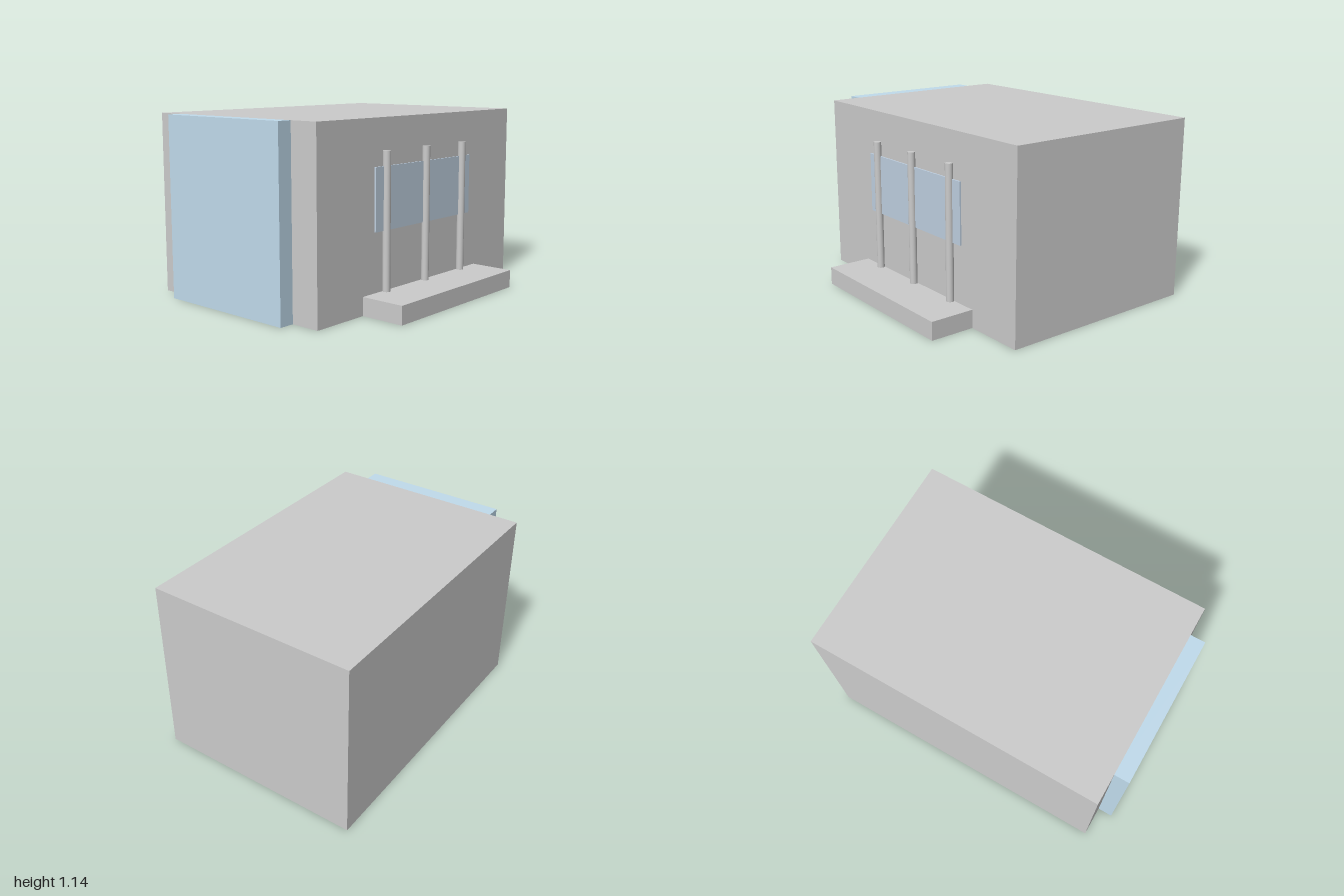
import * as THREE from 'three';

const grey = new THREE.MeshStandardMaterial({ color: 0xcccccc });
const blue = new THREE.MeshStandardMaterial({ color: 0xc0dbec });
const glass = new THREE.MeshStandardMaterial({ color: 0xc0d1e2 });

// Box given by its [min, max] range on each axis
function block(name, [x0, x1], [y0, y1], [z0, z1], material) {
  const mesh = new THREE.Mesh(new THREE.BoxGeometry(x1 - x0, y1 - y0, z1 - z0), material);
  mesh.position.set((x0 + x1) / 2, (y0 + y1) / 2, (z0 + z1) / 2);
  mesh.name = name;
  return mesh;
}

export function createModel() {
  const model = new THREE.Group();
  model.name = 'building';

  const height = 1.143;
  const frontZ = 0.524;
  const sideX = -0.905;
  const centreX = 0.0475;

  // Main volume and the blue bay on its right side
  model.add(block('mainBuilding', [sideX, 1], [0, height], [-0.81, frontZ], grey));
  model.add(block('sideBay', [-1, sideX], [0, height], [-0.62, 0.333], blue));

  // Entrance platform
  model.add(block('entrancePlatform', [centreX - 0.571, centreX + 0.571], [0, 0.114], [frontZ, 0.81], grey));

  // Wide window just proud of the front wall
  model.add(block('frontWindow', [centreX - 0.476, centreX + 0.476], [0.48, 0.86], [0.529, 0.539], glass));

  // Row of three slim columns standing on the platform
  const columns = new THREE.Group();
  columns.name = 'columns';
  for (let i = -1; i <= 1; i++) {
    const column = new THREE.Mesh(new THREE.CylinderGeometry(0.0238, 0.0238, 0.838, 32), grey);
    column.position.set(centreX + i * 0.381, 0.114 + 0.419, 0.543);
    column.name = 'column';
    columns.add(column);
  }
  model.add(columns);

  return model;
}
